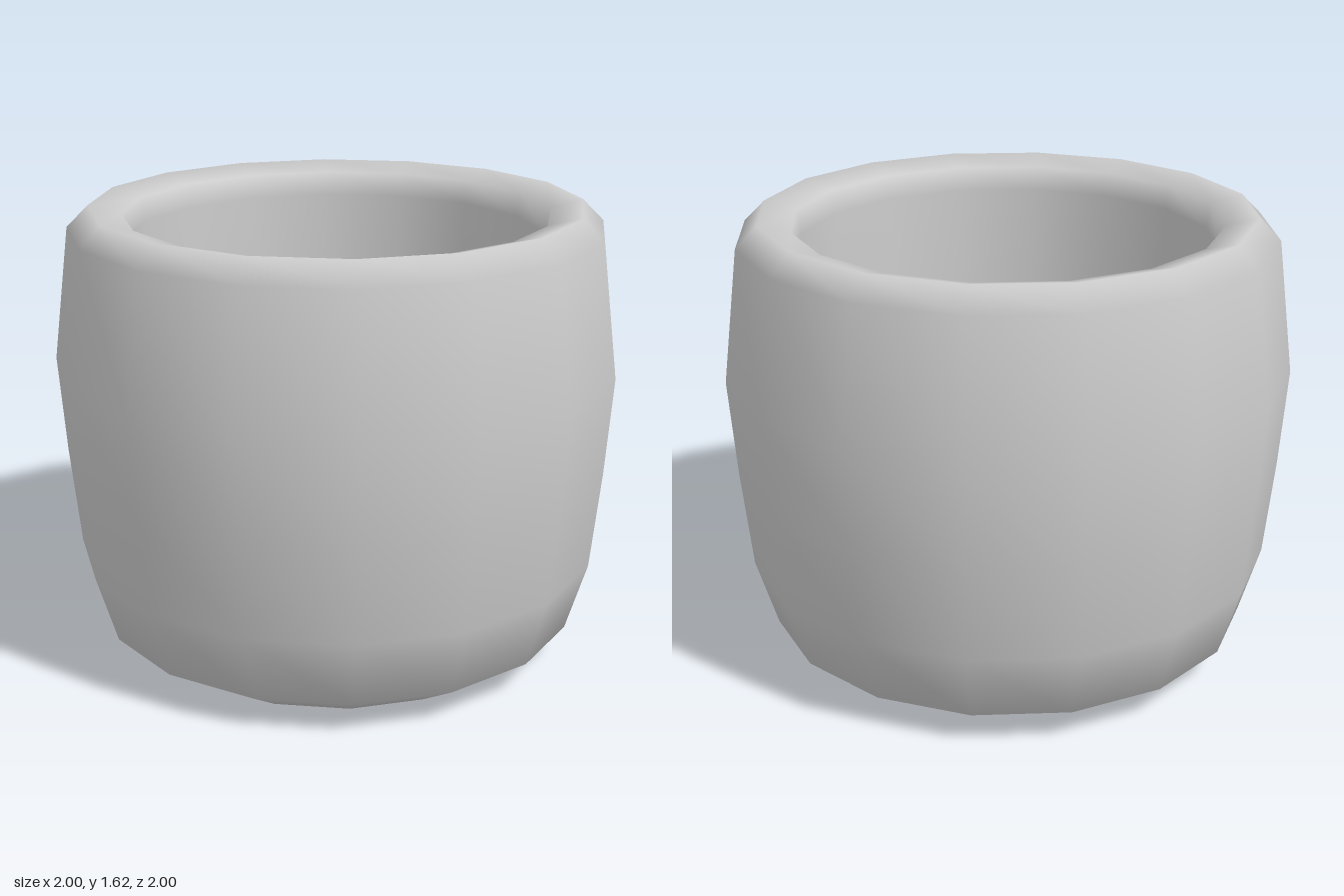
import * as THREE from 'three';

const SIDES = 16;

// Turns a list of [radius, height] pairs into a smooth-shaded solid of revolution
function turned(name, profile) {
  const points = profile.map(([r, y]) => new THREE.Vector2(r, y));
  const mesh = new THREE.Mesh(
    new THREE.LatheGeometry(points, SIDES),
    new THREE.MeshStandardMaterial({ color: 0xcccccc })
  );
  mesh.name = name;
  return mesh;
}

export function createModel() {
  const group = new THREE.Group();
  group.name = 'cup';

  group.add(turned('cupBody', [
    // underside and bulging outer wall
    [0, 0], [0.67, 0], [0.865, 0.12], [0.94, 0.37], [0.975, 0.72], [1, 1.07],
    // broad rim with a soft inner lip
    [0.94, 1.54], [0.865, 1.615], [0.75, 1.585], [0.735, 1.5],
    // straight inner wall curving into a dished floor
    [0.735, 1.07], [0.733, 0.5], [0.7, 0.34], [0.57, 0.22], [0, 0.12]
  ]));

  return group;
}
